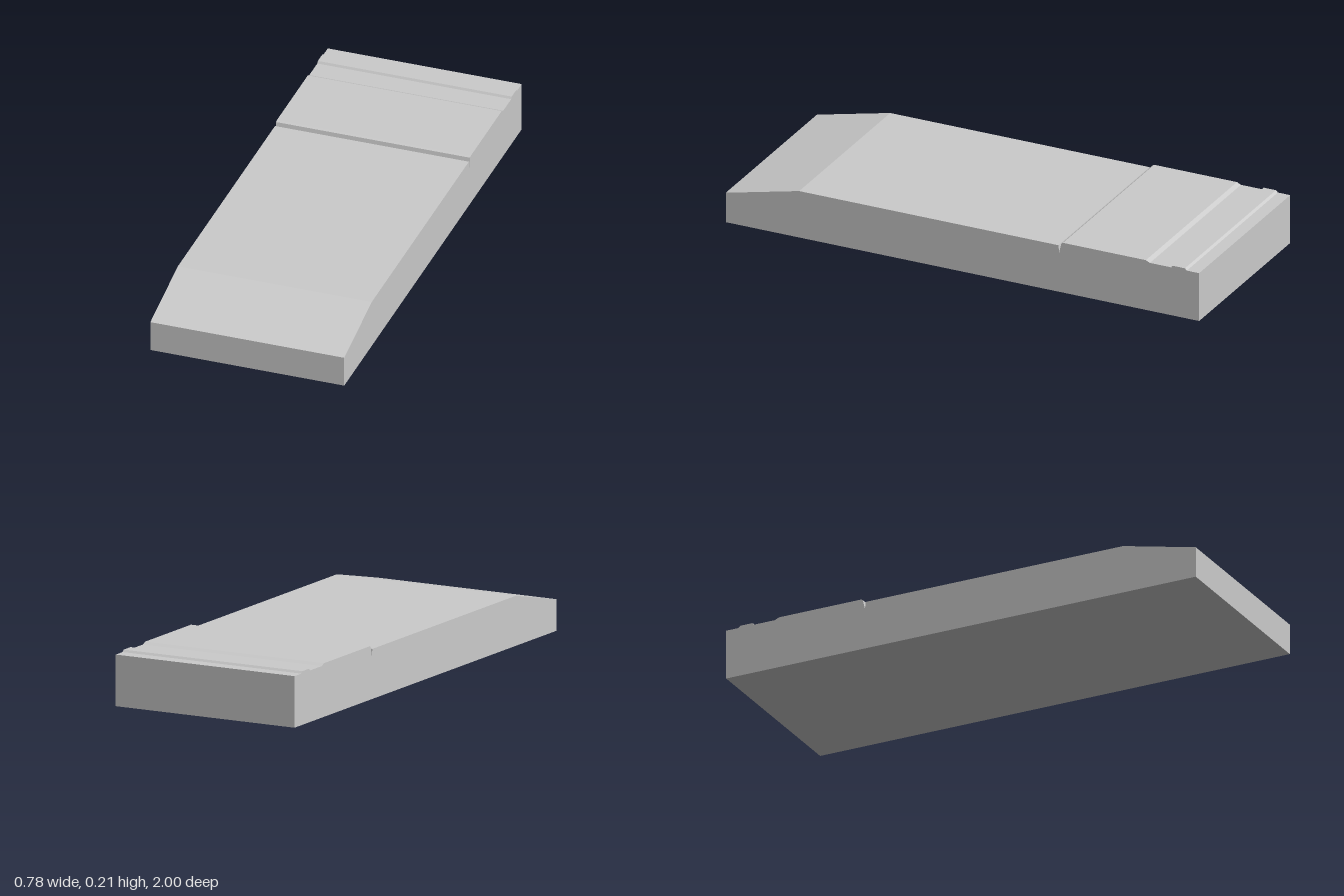
import * as THREE from 'three';

const WIDTH = 0.78;

// Side outline as [z, y], running from the back underside round to the top back
const OUTLINE = [
  [-1, 0], [1, 0],
  [1, 0.123], [0.69, 0.194],                                   // front ramp
  [-0.405, 0.194], [-0.409, 0.165], [-0.418, 0.204], [-0.425, 0.208], // cross groove
  [-0.775, 0.208], [-0.792, 0.2],                              // raised rear deck
  [-0.882, 0.2], [-0.888, 0.208], [-0.94, 0.208], [-0.948, 0.2], // rear rib
  [-1, 0.2],
];

export function createModel() {
  const group = new THREE.Group();
  group.name = 'rampedBlock';

  const shape = new THREE.Shape(OUTLINE.map(([z, y]) => new THREE.Vector2(z, y)));
  const geometry = new THREE.ExtrudeGeometry(shape, { depth: WIDTH, bevelEnabled: false });
  geometry.translate(0, 0, -WIDTH / 2);
  geometry.rotateY(-Math.PI / 2); // outline runs along z, width along x

  const body = new THREE.Mesh(geometry, new THREE.MeshStandardMaterial({ color: 0xcccccc }));
  body.name = 'body';
  group.add(body);
  return group;
}
